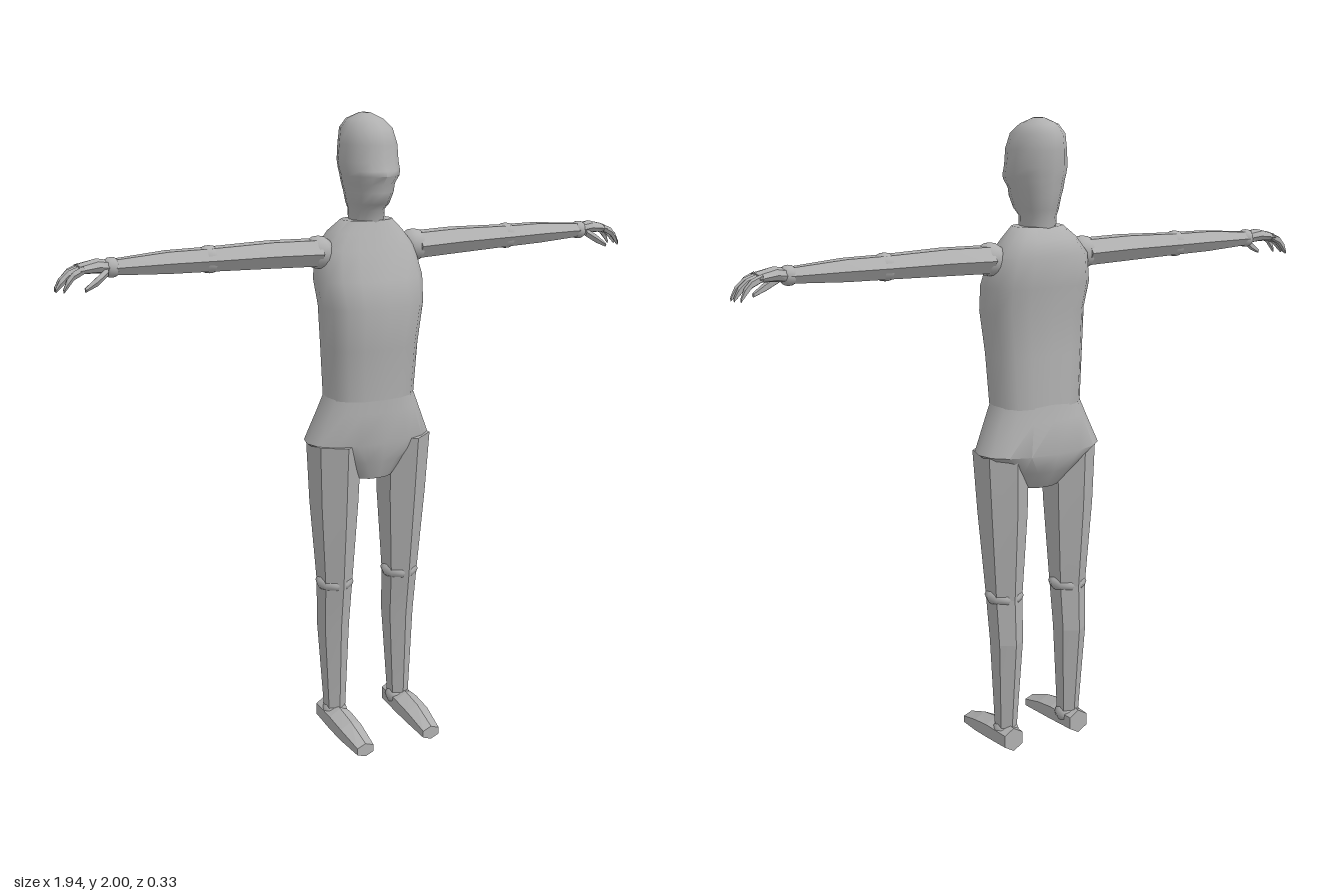
import * as THREE from 'three';
import { toCreasedNormals } from 'three/addons/utils/BufferGeometryUtils.js';

const grey = new THREE.MeshStandardMaterial({ color: 0xb0b0b0 });
grey.name = 'mannequin grey';

// Capped loft along y. Each section is [y, centreX, halfWidth, zFront, zBack].
function loft(sections, sides, { crease = 0.1, phase = 0, side = 1, power = 1 } = {}) {
  const pos = [], index = [];
  const soft = (v) => Math.sign(v) * Math.abs(v) ** power;
  for (const [y, cx, hx, zf, zb] of sections) {
    for (let i = 0; i < sides; i++) {
      const a = phase + (i / sides) * Math.PI * 2;
      pos.push(cx * side + soft(Math.sin(a)) * hx, y, (zf + zb) / 2 + (soft(Math.cos(a)) * (zf - zb)) / 2);
    }
  }
  const last = sections.length - 1, base = last * sides, end = pos.length / 3;
  for (const s of [sections[0], sections[last]]) pos.push(s[1] * side, s[0], (s[3] + s[4]) / 2);
  for (let i = 0; i < sides; i++) {
    const j = (i + 1) % sides;
    for (let r = 0; r < last; r++) {
      const p = r * sides, q = p + sides;
      index.push(p + i, p + j, q + j, p + i, q + j, q + i);
    }
    index.push(end, j, i, end + 1, base + i, base + j);
  }
  const g = new THREE.BufferGeometry();
  g.setAttribute('position', new THREE.Float32BufferAttribute(pos, 3));
  g.setIndex(index);
  return toCreasedNormals(g, crease);
}

function add(parent, name, geometry) {
  const mesh = new THREE.Mesh(geometry, grey);
  mesh.name = name;
  parent.add(mesh);
  return mesh;
}

function joint(parent, name, r, x, y, z, squash = 1) {
  const ball = add(parent, name, new THREE.SphereGeometry(r, 10, 8));
  ball.position.set(x, y, z);
  ball.scale.y = squash;
}

function makeArm(side) {
  const arm = new THREE.Group();
  arm.name = side > 0 ? 'leftArm' : 'rightArm';
  // Section as [x, centreY, halfHeight, zFront, zBack], laid along the x axis
  const along = (name, rows, sides) => {
    const g = loft(rows.map(([x, y, h, f, b]) => [x, -y, h, f, b]), sides, { side });
    add(arm, name, g.rotateZ((-side * Math.PI) / 2));
  };
  joint(arm, 'shoulder', 0.05, side * 0.165, 1.594, -0.045);
  along('upperArm', [[0.17, 1.594, 0.045, 0.01, -0.1], [0.32, 1.598, 0.044, 0.005, -0.104], [0.515, 1.598, 0.038, -0.008, -0.1]], 6);
  joint(arm, 'elbow', 0.041, side * 0.515, 1.598, -0.054);
  along('forearm', [[0.515, 1.598, 0.038, -0.008, -0.1], [0.64, 1.599, 0.036, -0.015, -0.098], [0.81, 1.597, 0.024, -0.03, -0.085]], 6);
  joint(arm, 'wrist', 0.029, side * 0.808, 1.597, -0.057);
  along('palm', [[0.81, 1.597, 0.02, -0.034, -0.08], [0.85, 1.604, 0.021, -0.025, -0.093], [0.905, 1.598, 0.014, -0.022, -0.1]], 8);
  // Four drooping fingers, the middle ones longest
  [0.955, 0.972, 0.97, 0.958].forEach((tip, i) => {
    const z = -0.032 - i * 0.019, at = (t) => 0.895 + (tip - 0.895) * t;
    along('finger' + (i + 1), [
      [at(0), 1.6, 0.012, z + 0.009, z - 0.009], [at(0.5), 1.586, 0.013, z + 0.009, z - 0.009],
      [at(0.82), 1.564, 0.014, z + 0.008, z - 0.008], [at(1), 1.545, 0.007, z + 0.005, z - 0.005],
    ], 5);
  });
  along('thumb', [[0.825, 1.59, 0.014, -0.028, -0.05], [0.86, 1.567, 0.014, -0.014, -0.036], [0.897, 1.545, 0.007, -0.014, -0.028]], 5);
  return arm;
}

function makeLeg(side) {
  const leg = new THREE.Group();
  leg.name = side > 0 ? 'leftLeg' : 'rightLeg';
  const up = (name, rows) => add(leg, name, loft(rows, 6, { side }));
  up('thigh', [[0.53, 0.12, 0.055, 0.022, -0.11], [0.8, 0.122, 0.074, 0.05, -0.13], [1.0, 0.124, 0.082, 0.068, -0.135]]);
  joint(leg, 'knee', 0.062, side * 0.12, 0.53, -0.044, 0.55);
  up('shin', [[0.08, 0.12, 0.034, -0.012, -0.09], [0.38, 0.12, 0.05, 0.003, -0.117], [0.53, 0.12, 0.055, 0.022, -0.11]]);
  joint(leg, 'ankle', 0.042, side * 0.12, 0.07, -0.05, 0.8);
  // Foot sections run from heel to toe with the ridge on top
  const foot = loft([
    [-0.108, 0.125, 0.038, -0.016, -0.095], [0.0, 0.125, 0.045, -0.008, -0.095],
    [0.075, 0.125, 0.044, -0.004, -0.08], [0.168, 0.122, 0.034, 0, -0.045],
  ], 6, { side, phase: Math.PI });
  add(leg, 'foot', foot.rotateX(Math.PI / 2));
  return leg;
}

export function createModel() {
  const model = new THREE.Group();
  model.name = 'mannequin';

  // Head with a shallow brow, nose and chin profile
  add(model, 'head', loft([
    [1.66, 0, 0.052, 0.015, -0.11], [1.715, 0, 0.053, 0.018, -0.115], [1.735, 0, 0.062, 0.042, -0.122],
    [1.77, 0, 0.07, 0.062, -0.13], [1.795, 0, 0.077, 0.06, -0.134], [1.82, 0, 0.084, 0.083, -0.138],
    [1.835, 0, 0.088, 0.08, -0.14], [1.86, 0, 0.09, 0.066, -0.143], [1.91, 0, 0.084, 0.068, -0.147],
    [1.955, 0, 0.075, 0.048, -0.145], [1.982, 0, 0.052, 0.012, -0.125], [2.0, 0, 0.015, -0.035, -0.075],
  ], 14, { crease: 1 }));

  add(model, 'torso', loft([
    [1.14, 0, 0.146, 0.07, -0.14], [1.3, 0, 0.156, 0.08, -0.138], [1.43, 0, 0.167, 0.1, -0.136],
    [1.51, 0, 0.175, 0.078, -0.15], [1.6, 0, 0.158, 0.045, -0.155], [1.65, 0, 0.118, 0.026, -0.14],
    [1.685, 0, 0.08, 0.014, -0.108],
  ], 16, { crease: 0.8, power: 0.85 }));

  add(model, 'pelvis', loft([
    [0.88, 0, 0.072, 0.035, -0.1], [0.94, 0, 0.125, 0.058, -0.145], [1.0, 0, 0.21, 0.07, -0.167],
    [1.1, 0, 0.166, 0.07, -0.147], [1.15, 0, 0.144, 0.07, -0.14],
  ], 16, { crease: 0.8, power: 0.9 }));

  for (const side of [1, -1]) model.add(makeArm(side), makeLeg(side));
  return model;
}
